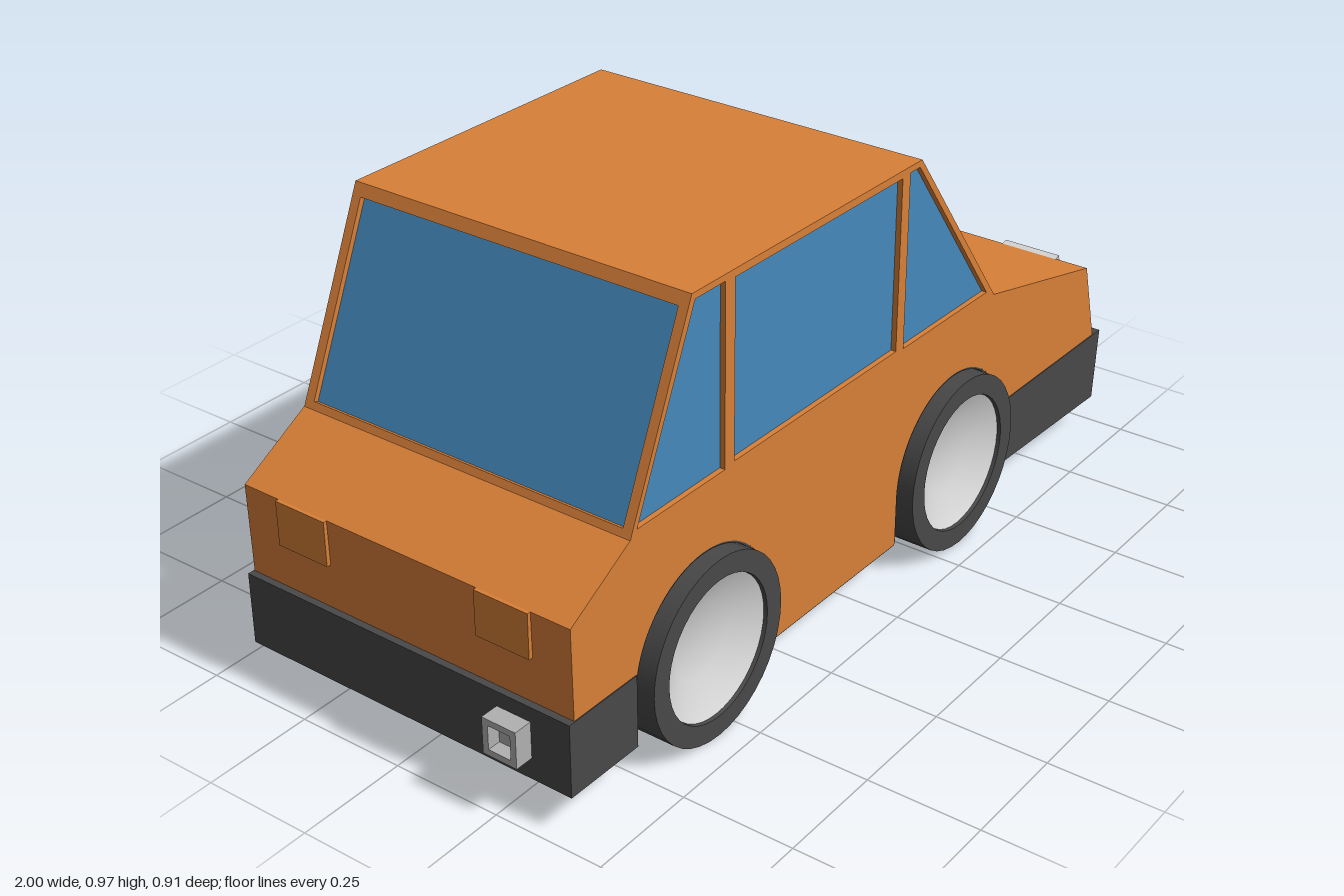
import * as THREE from 'three';
import { toCreasedNormals } from 'three/addons/utils/BufferGeometryUtils.js';

const HALF = 0.413;      // half width of the body
const SKIN = 0.012;      // depth of the window recesses
const AXLES = [-0.555, 0.331];
const AXLE_Y = 0.203;
const FLOOR = 0.09;

export function createModel() {
  const mat = (name, color, side = THREE.FrontSide) => {
    const m = new THREE.MeshStandardMaterial({ color, side });
    m.name = name;
    return m;
  };
  const paint = mat('orange paint', 0xd98038);
  const glass = mat('blue glass', 0x4488bb);
  const dark = mat('dark rubber', 0x484848);
  const light = mat('light metal', 0xd8d8d8);
  const steel = mat('grey steel', 0xb0b0b0);

  const car = new THREE.Group();
  car.name = 'car';
  const add = (name, geo, material, x = 0, y = 0, z = 0) => {
    const m = new THREE.Mesh(geo, material);
    m.name = name;
    m.position.set(x, y, z);
    car.add(m);
    return m;
  };
  const poly = (pts) => new THREE.Shape(pts.map(([x, y]) => new THREE.Vector2(x, y)));
  const extrude = (shape, depth) =>
    new THREE.ExtrudeGeometry(shape, { depth, bevelEnabled: false, curveSegments: 24 });
  const prism = (name, shape, half, material) =>
    add(name, extrude(shape, half * 2), material, 0, 0, -half);

  // Lower body with two wheel arches cut right through
  const R = 0.211;
  const body = new THREE.Shape();
  body.moveTo(-0.94, FLOOR + 0.01);
  for (const x of AXLES) {
    body.lineTo(x - R, FLOOR);
    body.lineTo(x - R, AXLE_Y);
    body.absarc(x, AXLE_Y, R, Math.PI, 0, true);
    body.lineTo(x + R, FLOOR);
  }
  [[0.965, FLOOR + 0.01], [0.965, 0.25], [0.91, 0.445], [0.485, 0.545], [-0.775, 0.548], [-0.945, 0.45]]
    .forEach(([x, y]) => body.lineTo(x, y));
  prism('lowerBody', body, HALF, paint);

  // Dark arch linings and floor
  for (const x of AXLES) {
    const lining = new THREE.Shape();
    lining.moveTo(x - R, FLOOR);
    lining.lineTo(x - R, AXLE_Y);
    lining.absarc(x, AXLE_Y, R, Math.PI, 0, true);
    lining.lineTo(x + R, FLOOR);
    lining.lineTo(x + R - 0.004, FLOOR);
    lining.lineTo(x + R - 0.004, AXLE_Y);
    lining.absarc(x, AXLE_Y, R - 0.004, 0, Math.PI, false);
    lining.lineTo(x - R + 0.004, FLOOR);
    prism('archLining', lining, HALF - 0.001, dark);
  }
  const floorLength = AXLES[1] - AXLES[0] - 2 * R;
  add('floor', new THREE.BoxGeometry(floorLength, 0.004, HALF * 2 - 0.002), dark,
    (AXLES[0] + AXLES[1]) / 2, FLOOR - 0.001, 0);

  // Bumpers
  const front = AXLES[1] + R - 0.003, rear = AXLES[0] - R + 0.003;
  prism('frontBumper', poly([[front, 0.087], [0.983, 0.076], [0.996, 0.25], [front, 0.25]]), HALF + 0.002, dark);
  prism('rearBumper', poly([[-0.958, 0.087], [rear, 0.087], [rear, 0.25], [-0.958, 0.25]]), HALF + 0.002, dark);

  // Glass core of the cabin
  prism('cabinGlass', poly([[-0.769, 0.53], [0.481, 0.53], [0.1575, 0.96], [-0.581, 0.96]]), HALF - SKIN, glass);

  // Side frames, each with three window openings
  const sideFrame = poly([[-0.775, 0.545], [0.485, 0.545], [0.165, 0.97], [-0.59, 0.97]]);
  sideFrame.holes.push(
    poly([[-0.755, 0.563], [-0.49, 0.563], [-0.49, 0.956], [-0.58, 0.956]]),
    poly([[-0.46, 0.568], [0.095, 0.568], [0.095, 0.953], [-0.46, 0.953]]),
    poly([[0.123, 0.563], [0.452, 0.563], [0.158, 0.956], [0.123, 0.956]]));
  for (const s of [1, -1]) {
    add('sideWindowFrame', extrude(sideFrame, SKIN), paint, 0, 0, s > 0 ? HALF - SKIN : -HALF);
  }
  add('roof', new THREE.BoxGeometry(0.755, SKIN, HALF * 2), paint, -0.2125, 0.97 - SKIN / 2, 0);

  // Sloped frames of the windscreen and rear window; dir is the way they face
  const slopedFrame = (name, bottom, top, dir, edge) => {
    const v = new THREE.Vector3(top[0] - bottom[0], top[1] - bottom[1], 0);
    const len = v.length();
    v.normalize();
    const n = new THREE.Vector3(v.y * dir, -v.x * dir, 0);
    const u = new THREE.Vector3(0, 0, -dir);
    const rect = (w, a, b) => poly([[-w, a], [w, a], [w, b], [-w, b]]);
    const shape = rect(HALF, 0, len);
    shape.holes.push(rect(HALF - edge, 0.02, len - 0.028));
    const geo = extrude(shape, SKIN).translate(0, 0, -SKIN);
    geo.applyMatrix4(new THREE.Matrix4().makeBasis(u, v, n));
    add(name, geo, paint, bottom[0], bottom[1], 0);
  };
  slopedFrame('windscreenFrame', [0.485, 0.545], [0.165, 0.97], 1, 0.03);
  slopedFrame('rearWindowFrame', [-0.775, 0.545], [-0.59, 0.97], -1, 0.022);

  // Lamps
  for (const s of [1, -1]) {
    const lamp = add('headlight', new THREE.BoxGeometry(0.024, 0.11, 0.143), light, 0.925, 0.394, 0.01 + s * 0.251);
    lamp.rotation.z = 0.275;
    add('tailLight', new THREE.BoxGeometry(0.02, 0.1, 0.13), paint, -0.943, 0.4, s * 0.255);
  }

  // Square hollow exhaust pipe
  const square = (h) => poly([[-h, -h], [h, -h], [h, h], [-h, h]]);
  const pipe = square(0.041);
  pipe.holes.push(square(0.027));
  const exhaust = add('exhaustPipe', extrude(pipe, 0.06), steel, -1, 0.176, 0.28);
  exhaust.rotation.y = Math.PI / 2;
  add('exhaustInside', new THREE.BoxGeometry(0.02, 0.06, 0.06), steel, -0.96, 0.176, 0.28);

  // Wheels: tyre with a dished rim
  const lathe = (pts) => toCreasedNormals(
    new THREE.LatheGeometry(pts.map(([r, y]) => new THREE.Vector2(r, y)), 40), 0.5);
  const tyreGeo = lathe([[0, -0.165], [0.203, -0.165], [0.203, 0], [0.157, 0], [0.155, -0.012]]);
  const rimGeo = lathe([[0.156, -0.008], [0.08, -0.045], [0, -0.045]]);
  for (const x of AXLES) {
    for (const s of [1, -1]) {
      const wheel = new THREE.Group();
      wheel.name = (x > 0 ? 'front' : 'rear') + 'Wheel';
      const tyre = new THREE.Mesh(tyreGeo, dark);
      tyre.name = 'tyre';
      const rim = new THREE.Mesh(rimGeo, light);
      rim.name = 'rim';
      wheel.add(tyre, rim);
      wheel.position.set(x + 0.006, AXLE_Y, s * 0.446);
      wheel.rotation.x = s * Math.PI / 2;
      car.add(wheel);
    }
  }

  // The car stands turned very slightly
  car.rotation.y = -0.011;
  const model = new THREE.Group();
  model.name = 'model';
  model.add(car);
  return model;
}
